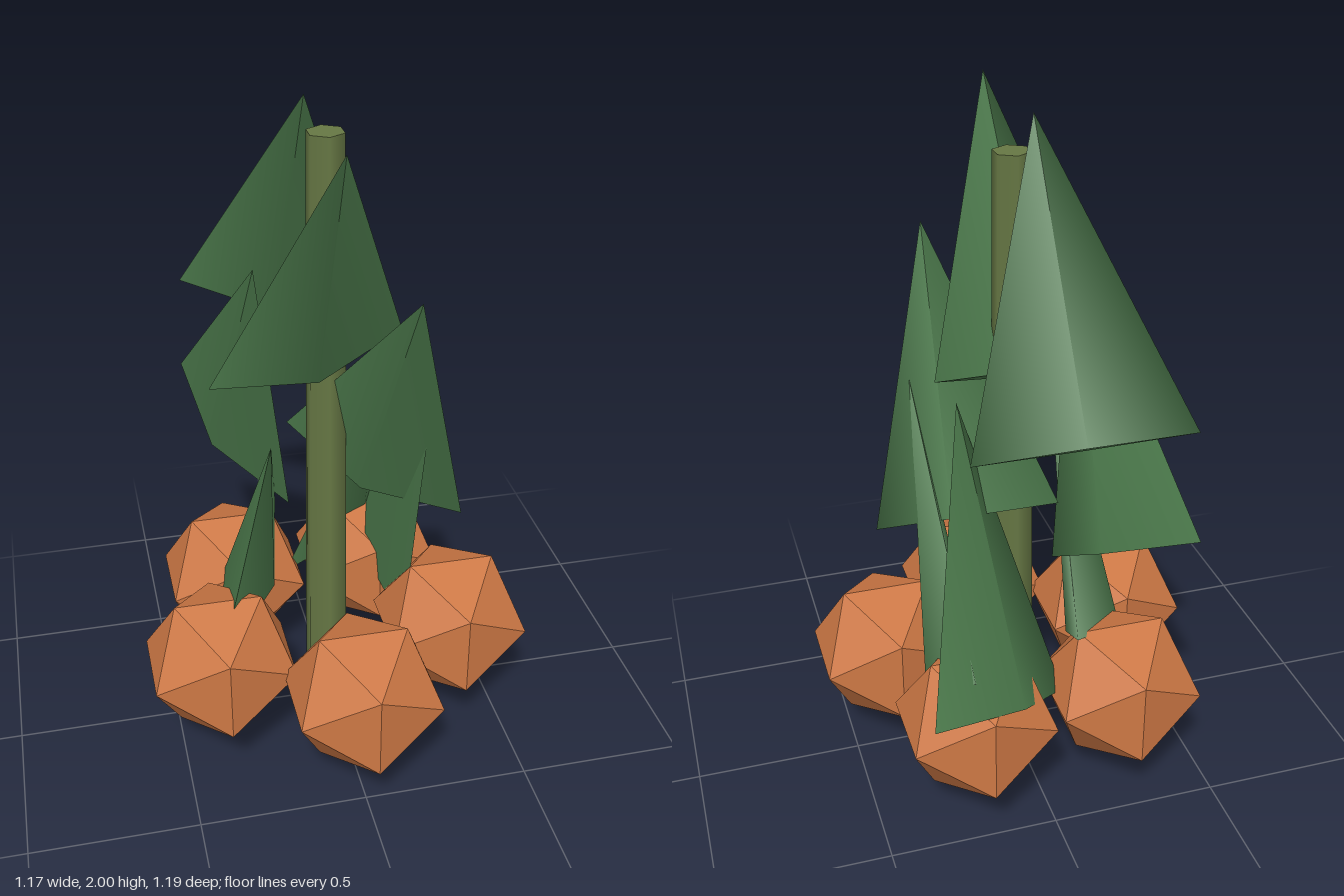
import * as THREE from 'three';

const material = (color, flatShading = false) => new THREE.MeshStandardMaterial({ color, flatShading });

export function createModel() {
  const model = new THREE.Group();
  model.name = 'fruitingPlant';

  // All parts are arranged around the stem axis
  const plant = new THREE.Group();
  plant.name = 'plant';
  plant.position.set(-0.01, 0, -0.006);
  model.add(plant);

  function addPart(name, geometry, mat, x, y, z) {
    const mesh = new THREE.Mesh(geometry, mat);
    mesh.name = name;
    mesh.position.set(x, y, z);
    plant.add(mesh);
    return mesh;
  }

  // Tapered six-sided stem
  addPart('stem', new THREE.CylinderGeometry(0.055, 0.069, 1.9, 6), material(0x667744), 0, 0.95, 0);

  // Seven flattened cone leaves, spiralling through three heights and all leaning forward
  const leafGeometry = new THREE.ConeGeometry(0.302, 0.891, 4);
  const leafMaterial = material(0x4a774a);
  const leafCount = 7;
  for (let i = 0; i < leafCount; i++) {
    const angle = (i / leafCount) * Math.PI * 2;
    const leaf = addPart('leaf' + (i + 1), leafGeometry, leafMaterial,
      Math.cos(angle) * 0.25, 0.78 + (i % 3) * 0.42, Math.sin(angle) * 0.25);
    leaf.rotation.set(0.55, angle, 0);
    leaf.scale.x = 0.28;
  }

  // Ring of five faceted fruits near the base
  const fruitGeometry = new THREE.IcosahedronGeometry(0.25, 0);
  const fruitMaterial = material(0xcc7744, true);
  const fruitCount = 5;
  for (let i = 0; i < fruitCount; i++) {
    const angle = 0.25 + (i / fruitCount) * Math.PI * 2;
    addPart('fruit' + (i + 1), fruitGeometry, fruitMaterial,
      Math.cos(angle) * 0.39, 0.3125, Math.sin(angle) * 0.39);
  }

  return model;
}
